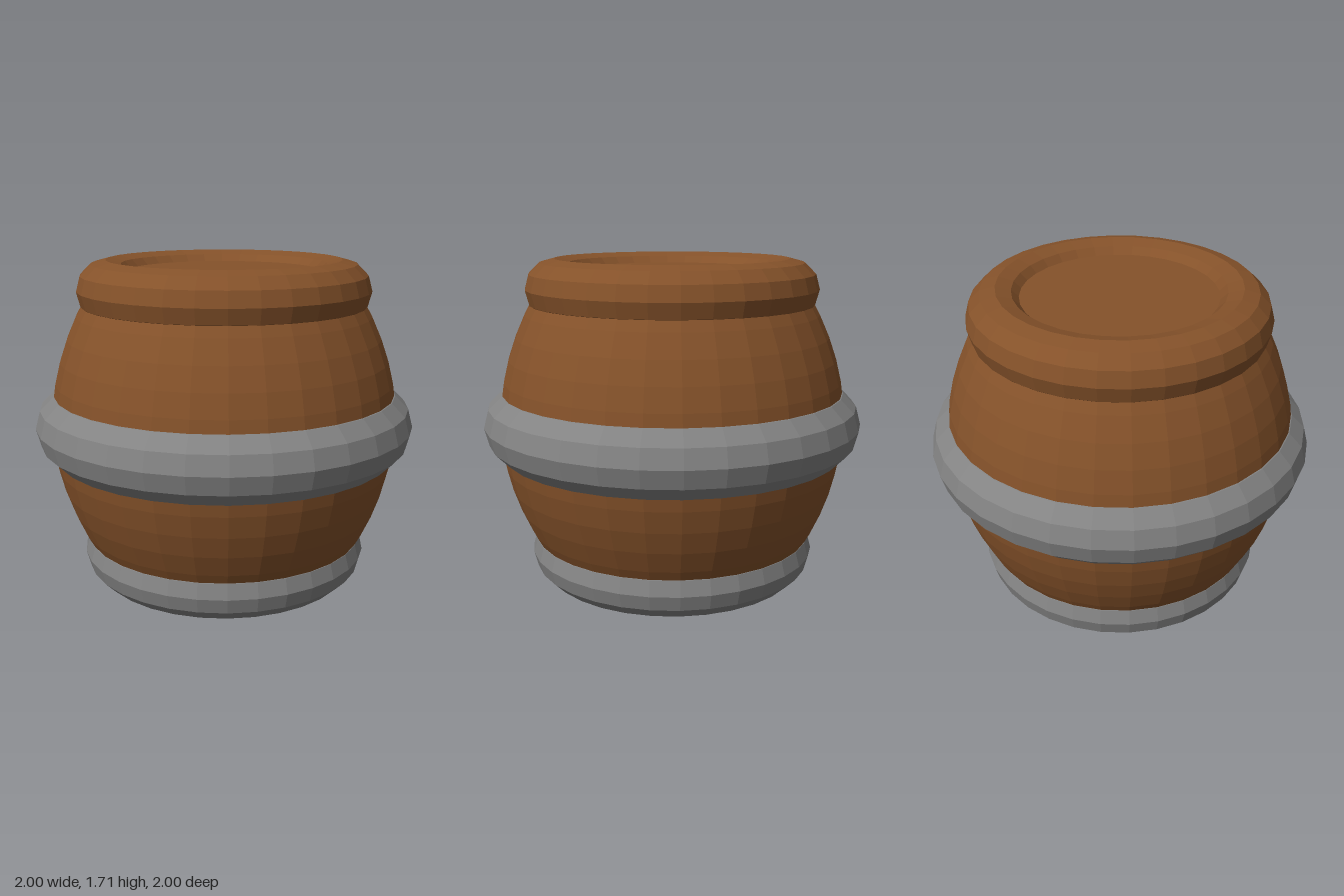
import * as THREE from 'three';

const SIDES = 32;
const MID = 0.857;

function mat(color) {
  return new THREE.MeshStandardMaterial({ color, flatShading: true });
}

// Horizontal faceted ring with a twelve-sided section
function ring(name, radius, tube, y, material) {
  const geometry = new THREE.TorusGeometry(radius, tube, 12, SIDES);
  geometry.rotateX(Math.PI / 2);
  const mesh = new THREE.Mesh(geometry, material);
  mesh.name = name;
  mesh.position.y = y;
  return mesh;
}

export function createModel() {
  const group = new THREE.Group();
  group.name = 'barrel';
  const wood = mat(0x85522a);
  const metal = mat(0x838383);

  // Bulging body, closed by flat recessed lids
  const half = 0.8;
  const rows = 14;
  const profile = [new THREE.Vector2(0, MID - half)];
  for (let i = 0; i <= rows; i++) {
    const d = -half + (2 * half * i) / rows;
    profile.push(new THREE.Vector2(0.913 - 0.436 * d * d, MID + d));
  }
  profile.push(new THREE.Vector2(0, MID + half));
  const body = new THREE.Mesh(new THREE.LatheGeometry(profile, SIDES), wood);
  body.name = 'body';
  group.add(body);

  // Rims and the wide middle hoop
  group.add(
    ring('topRim', 0.61, 0.155, 2 * MID - 0.155, wood),
    ring('middleHoop', 0.81, 0.19, MID, metal),
    ring('bottomRim', 0.61, 0.155, 0.155, metal)
  );
  return group;
}
